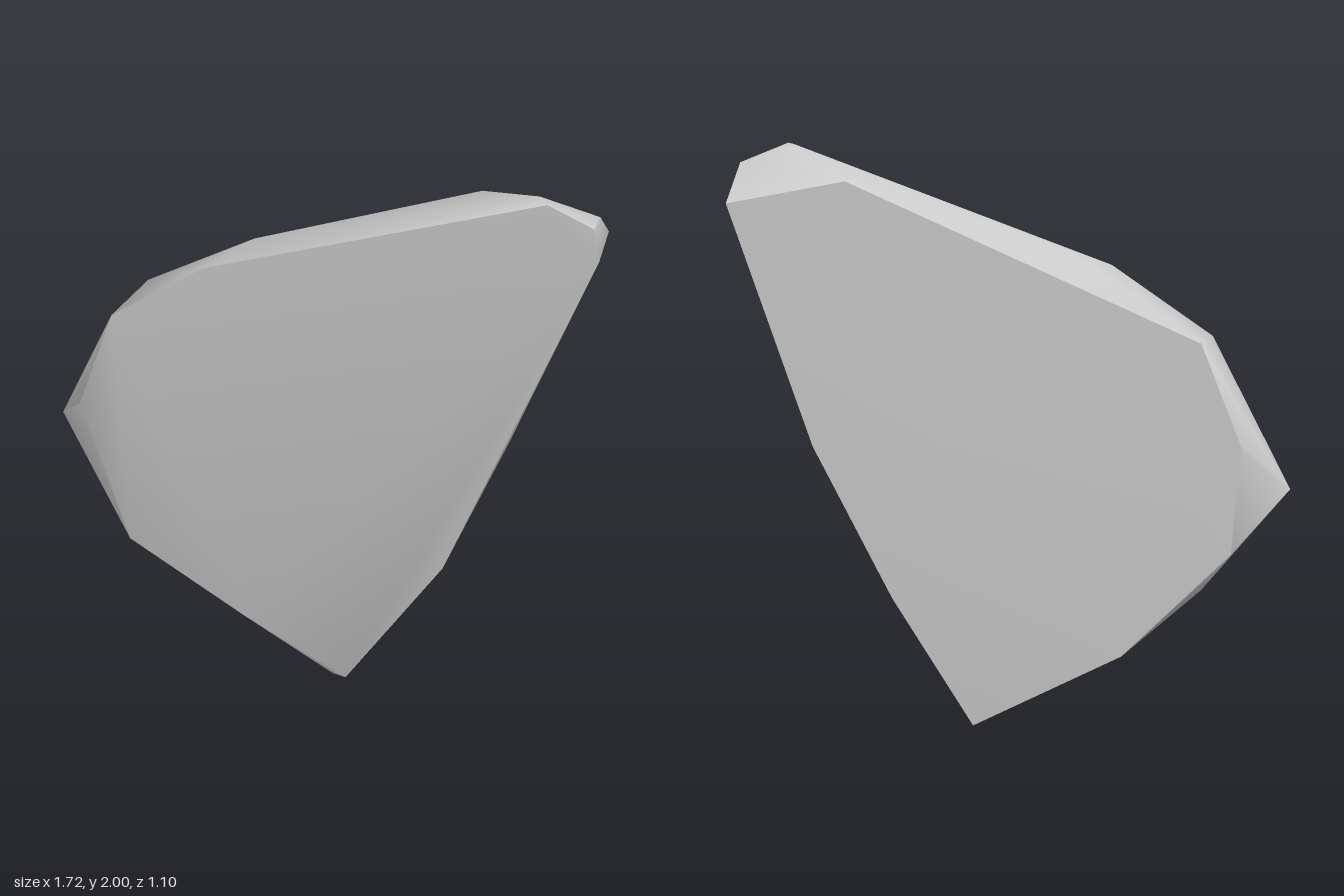
import * as THREE from 'three';
import { ConvexGeometry } from 'three/addons/geometries/ConvexGeometry.js';
import { toCreasedNormals } from 'three/addons/utils/BufferGeometryUtils.js';

// Chipped stone slab: the hull of a front rim, a back rim and a few chipped corners
const frontRim = [
  [0.72, 2.0, -0.24], [0.84, 1.94, -0.32], [0.86, 1.84, -0.33], [0.4, 0.56, -0.18],
  [0.1, 0, 0], [0.05, 0, 0.02], [-0.17, 0.25, 0.255], [-0.55, 0.48, 0.47],
  [-0.69, 1.01, 0.55], [-0.56, 1.38, 0.48], [-0.26, 1.61, 0.31],
];
const backRim = [
  [0.7, 1.82, -0.55], [0.46, 1.0, -0.41], [0.23, 0.47, -0.27], [0, 0.01, -0.11],
  [-0.46, 0.31, 0.13], [-0.75, 0.68, 0.34], [-0.79, 1.06, 0.32],
  [-0.67, 1.4, 0.25], [0.35, 1.9, -0.34],
];
const chips = [[-0.86, 0.89, 0.52], [-0.23, 1.67, 0.12], [0.66, 2.0, -0.27], [0.79, 1.94, -0.4]];

export function createModel() {
  const group = new THREE.Group();
  group.name = 'stoneShard';

  const stone = new THREE.MeshStandardMaterial({ color: 0xcccccc });
  stone.name = 'pale grey stone';

  const points = [...frontRim, ...backRim, ...chips].map((p) => new THREE.Vector3(...p));
  // Broad faces blend softly while the broken edges stay sharp
  const geometry = toCreasedNormals(new ConvexGeometry(points), 0.85);

  const slab = new THREE.Mesh(geometry, stone);
  slab.name = 'slab';
  group.add(slab);
  return group;
}
